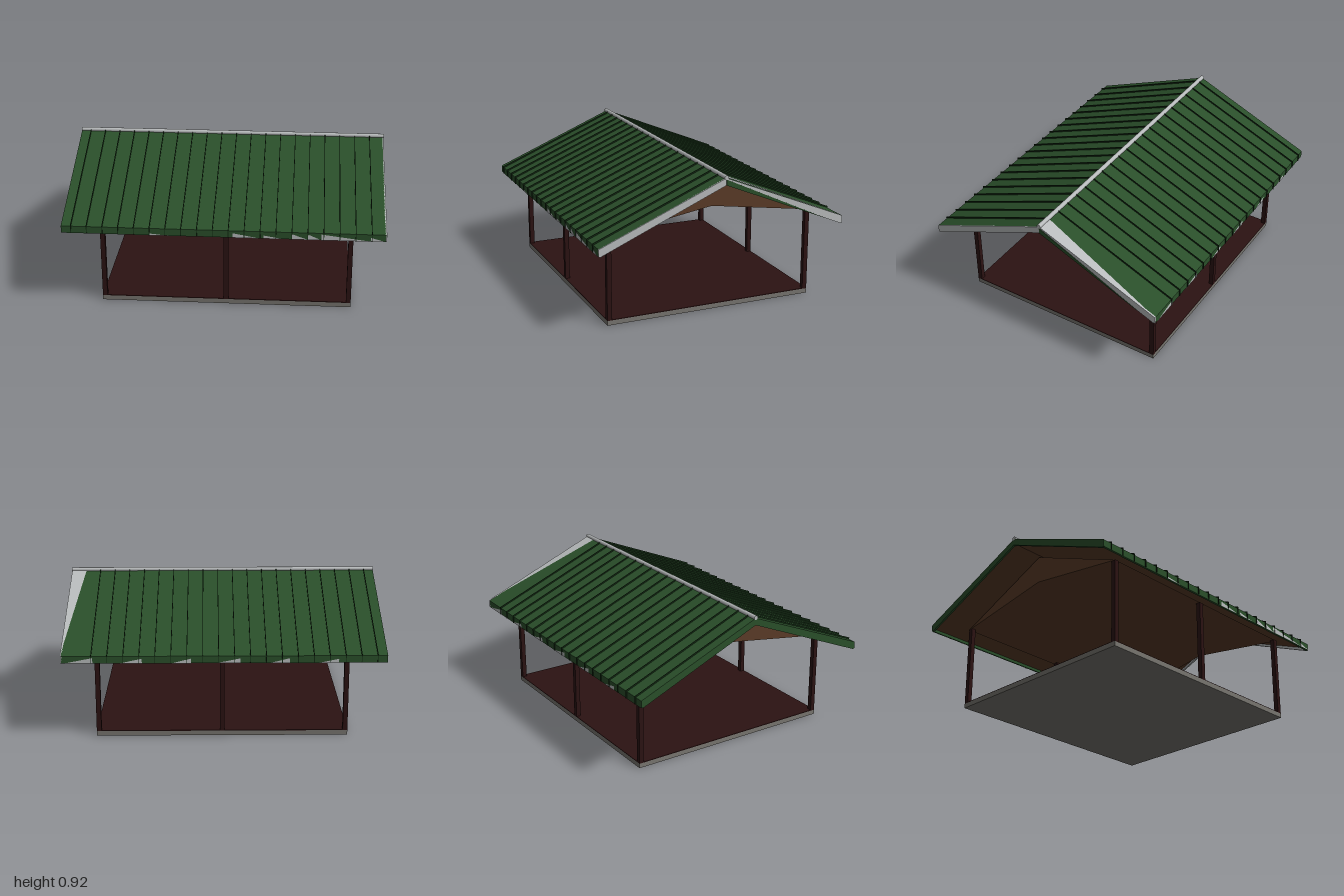
import * as THREE from 'three';

const mat = (name, color, double) => {
  const m = new THREE.MeshStandardMaterial({ color });
  m.name = name;
  if (double) m.side = THREE.DoubleSide;
  return m;
};

export function createModel() {
  const group = new THREE.Group();
  const green = mat('roof green', 0x2a4f2a);
  const seamGreen = mat('seam dark green', 0x132a13);
  const trim = mat('trim grey', 0xb9bcbd, true);
  const brown = mat('timber brown', 0x5a3b27);
  const maroon = mat('dark stained wood', 0x2b1212);
  const concrete = mat('concrete grey', 0x77756f);

  const add = (name, geometry, material) => {
    const mesh = new THREE.Mesh(geometry, material);
    mesh.name = name;
    group.add(mesh);
    return mesh;
  };
  const box = (name, material, x0, x1, y0, y1, z0, z1) => {
    const m = add(name, new THREE.BoxGeometry(x1 - x0, y1 - y0, z1 - z0), material);
    m.position.set((x0 + x1) / 2, (y0 + y1) / 2, (z0 + z1) / 2);
  };
  // Cross-section of [z, y] points, run along x from x0 to x1
  const run = (name, material, points, x0, x1) => {
    const shape = new THREE.Shape(points.map(([z, y]) => new THREE.Vector2(-z, y)));
    const g = new THREE.ExtrudeGeometry(shape, { depth: x1 - x0, bevelEnabled: false });
    g.rotateY(Math.PI / 2);
    g.translate(x0, 0, 0);
    add(name, g, material);
  };

  // Floor slab with stained deck on top
  const left = -0.78, right = 0.8, half = 0.69, mid = (left + right) / 2;
  box('slab', concrete, left, right, 0, 0.03, -half, half);
  box('deck', maroon, left, right, 0.03, 0.034, -half, half);

  // Three posts along each eave
  for (const s of [-1, 1])
    for (const x of [left + 0.015, mid, right - 0.015])
      box('post', maroon, x - 0.015, x + 0.015, 0.03, 0.57, s * 0.675 - 0.015, s * 0.675 + 0.015);

  // Vaulted ceiling with closed gable ends
  run('gableCeiling', brown, [[-half, 0.567], [0, 0.675], [half, 0.567], [0, 0.857]], left, right);

  // Roof planes; the surface falls from the ridge to the eave
  const ridge = 0.902, eaveZ = 0.812, pitch = 0.412;
  const top = (z, lift = 0) => ridge - pitch * z + lift;
  for (const s of [-1, 1]) {
    const side = s > 0 ? 'front' : 'back';
    const flip = pts => pts.map(([z, y]) => [s * z, y]);
    // Strip between two heights relative to the roof surface
    const strip = (z0, z1, a, b) => flip([[z0, top(z0, a)], [z1, top(z1, a)], [z1, top(z1, b)], [z0, top(z0, b)]]);
    run(side + 'RoofSheet', green, strip(0, eaveZ, 0, -0.025), -0.99, 0.99);
    run(side + 'Soffit', brown, strip(0, eaveZ - 0.01, -0.025, -0.032), -0.985, 0.985);
    run(side + 'EaveFascia', green, flip([[eaveZ - 0.012, 0.52], [eaveZ - 0.012, 0.565], [eaveZ, top(eaveZ)], [eaveZ, 0.522]]), -0.99, 0.99);

    // Rake boards at the two gables
    const rake = flip([[0, ridge], [eaveZ, top(eaveZ)], [eaveZ, 0.523], [0.8, 0.52], [0, 0.857]]);
    run(side + 'RakeGreen', green, rake, -0.998, -0.985);
    run(side + 'RakeTrim', trim, rake, 0.985, 0.996);

    // Standing seams folded over the eave
    const seam = flip([[0, top(0, 0.01)], [eaveZ + 0.006, top(eaveZ, 0.008)], [eaveZ + 0.006, 0.524],
      [eaveZ - 0.002, 0.524], [eaveZ - 0.002, top(eaveZ, -0.004)], [0, top(0, -0.002)]]);
    const seams = s > 0 ? 20 : 19;
    for (let i = 0; i < seams; i++) {
      const x = -0.937 + 0.097 * i;
      run(side + 'Seam', seamGreen, seam, x - 0.002, x + 0.002);
    }

    // Trim slivers showing along the lower eave
    const slivers = s > 0
      ? [[-0.45, 0.12, 0.012], [0.06, 0.16, 0.03], [0.25, 0.12, 0.02], [0.42, 0.1, 0.035], [0.52, 0.08, 0.035], [0.6, 0.3, 0.038], [0.9, 0.09, 0.025]]
      : [[-0.7, 0.12, 0.025], [-0.4, 0.12, 0.03], [-0.1, 0.15, 0.03], [0.2, 0.12, 0.03], [0.5, 0.14, 0.03], [0.8, 0.18, 0.035]];
    for (const [x, w, h] of slivers) {
      const tri = new THREE.Shape([[x, 0.523], [x + w, 0.523], [x, 0.523 + h]].map(p => new THREE.Vector2(...p)));
      add(side + 'EaveTrim', new THREE.ShapeGeometry(tri), trim).position.z = s * (eaveZ + 0.003);
    }
  }

  // Skewed flashing on the back roof plane, with green left showing on its gable edge
  const flashing = new THREE.BufferGeometry();
  flashing.setAttribute('position', new THREE.Float32BufferAttribute([
    0.9, top(0, 0.004), 0, 0.996, top(0, 0.004), 0, 0.996, top(eaveZ, 0.004), -eaveZ], 3));
  flashing.computeVertexNormals();
  add('backFlashing', flashing, trim);
  run('backRakeGreen', green, [[0, 0.893], [0, 0.857], [-0.69, 0.567]], 0.996, 0.999);

  // Ridge cap
  const cap = add('ridgeCap', new THREE.CylinderGeometry(0.014, 0.014, 2, 10), trim);
  cap.rotation.z = Math.PI / 2;
  cap.position.y = 0.905;

  return group;
}
